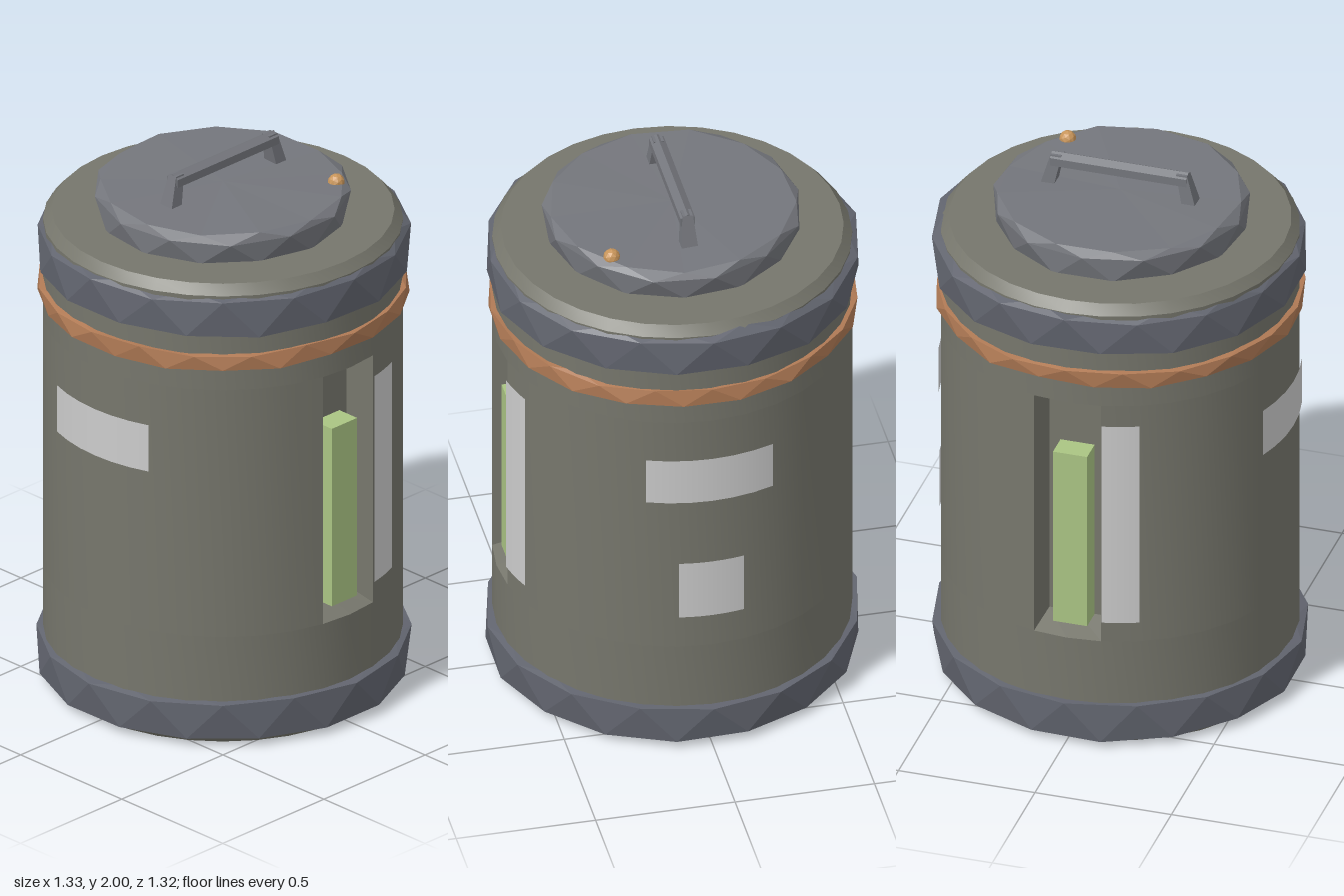
import * as THREE from 'three';
import { toCreasedNormals } from 'three/addons/utils/BufferGeometryUtils.js';

const R = 0.63, SEG = 32, STEP = (Math.PI * 2) / SEG;
const SLOT_LOW = 0.42, SLOT_HIGH = 1.38;

const paint = (color, options = {}) => new THREE.MeshStandardMaterial({ color, ...options });

export function createModel() {
  const model = new THREE.Group();
  const bodyMat = paint(0x76766c);
  const bandMat = paint(0x62656f, { flatShading: true });
  const lidMat = paint(0x74767c, { flatShading: true });
  const strapMat = paint(0xb07a55, { flatShading: true });
  const lampMat = paint(0xaac483, { flatShading: true });
  const labelMat = paint(0xc8c8c8, { side: THREE.DoubleSide });
  const slotMat = paint(0x76766c, { flatShading: true, side: THREE.DoubleSide });
  const knobMat = paint(0xc8955a, { flatShading: true });

  let seed = 7;
  const wobble = (amount) => {
    seed = (seed * 16807) % 2147483647;
    return (seed / 2147483647 - 0.5) * 2 * amount;
  };

  const add = (parent, name, geometry, material) => {
    const mesh = new THREE.Mesh(geometry, material);
    mesh.name = name;
    parent.add(mesh);
    return mesh;
  };

  const lathe = (profile, segments, start, length) => toCreasedNormals(
    new THREE.LatheGeometry(profile.map(([r, y]) => new THREE.Vector2(r, y)), segments, start, length), 0.6);

  // Rough faceted ring: rows of points staggered by half a step
  const facetRing = (profile, n, jitter) => {
    const pos = [], index = [];
    profile.forEach(([r, y], j) => {
      for (let i = 0; i < n; i++) {
        const a = ((i + (j % 2) * 0.5) / n) * Math.PI * 2;
        const rr = r > 0 ? r + wobble(jitter) : 0;
        pos.push(Math.sin(a) * rr, y + (r > 0 ? wobble(jitter) : 0), Math.cos(a) * rr);
      }
    });
    for (let j = 0; j < profile.length - 1; j++) {
      for (let i = 0; i < n; i++) {
        const k = (i + 1) % n, a = j * n, b = a + n;
        if (j % 2 === 0) index.push(a + i, a + k, b + i, a + k, b + k, b + i);
        else index.push(a + i, b + k, b + i, a + i, a + k, b + k);
      }
    }
    const geometry = new THREE.BufferGeometry();
    geometry.setAttribute('position', new THREE.Float32BufferAttribute(pos, 3));
    geometry.setIndex(index);
    geometry.computeVertexNormals();
    return geometry;
  };

  // Canister body: full lower and upper shells, two half shells between the slots
  const body = new THREE.Group();
  body.name = 'body';
  model.add(body);
  add(body, 'lowerShell', lathe([[0, 0], [0.6, 0], [R, 0.03], [R, SLOT_LOW]], SEG, 0, Math.PI * 2), bodyMat);
  add(body, 'upperShell', lathe([[R, SLOT_HIGH], [R, 1.745], [0.6, 1.78], [0, 1.78]], SEG, 0, Math.PI * 2), bodyMat);
  for (const start of [STEP, Math.PI + STEP]) {
    add(body, 'middleShell', lathe([[R, SLOT_LOW], [R, SLOT_HIGH]], SEG / 2 - 2, start, Math.PI - 2 * STEP), bodyMat);
  }

  // Sunken slot: outer loop on the shell, inner loop on the slot floor
  const slotGeometry = () => {
    const w = R * Math.sin(STEP), z = R * Math.cos(STEP), back = 0.51;
    const loop = (x, low, high, zSide, zMid) => [
      [-x, low, zSide], [0, low, zMid], [x, low, zSide], [x, high, zSide], [0, high, zMid], [-x, high, zSide]];
    const pos = [...loop(w, SLOT_LOW, SLOT_HIGH, z, R), ...loop(0.1, 0.46, 1.35, back, back)].flat();
    const index = [];
    for (let i = 0; i < 6; i++) {
      const k = (i + 1) % 6;
      index.push(i, k, i + 6, k, k + 6, i + 6);
    }
    index.push(6, 7, 11, 7, 10, 11, 7, 8, 10, 8, 9, 10);
    const geometry = new THREE.BufferGeometry();
    geometry.setAttribute('position', new THREE.Float32BufferAttribute(pos, 3));
    geometry.setIndex(index);
    geometry.computeVertexNormals();
    return geometry;
  };

  // Curved label hugging the shell, centred on an angle from the front
  const label = (parent, name, from, to, low, high) => add(parent, name,
    new THREE.LatheGeometry([new THREE.Vector2(R + 0.006, low), new THREE.Vector2(R + 0.006, high)], 6, from, to - from),
    labelMat);

  // Slot, glowing gauge and tall label, repeated front and back
  ['front', 'back'].forEach((side, i) => {
    const panel = new THREE.Group();
    panel.name = side + 'Panel';
    panel.rotation.y = i * Math.PI;
    add(panel, 'slot', slotGeometry(), slotMat);
    add(panel, 'gauge', new THREE.BoxGeometry(0.125, 0.69, 0.1), lampMat).position.set(0.003, 0.805, 0.548);
    label(panel, 'tallLabel', Math.asin(0.125 / R), Math.asin(0.25 / R), 0.5, 1.3);
    model.add(panel);
  });

  // Side labels
  const wide = Math.asin(0.225 / R), narrow = Math.asin(0.115 / R);
  for (const a of [Math.PI / 2, -Math.PI / 2]) label(model, 'wideLabel', a - wide, a + wide, 1.04, 1.22);
  label(model, 'squareLabel', Math.PI / 2 - narrow, Math.PI / 2 + narrow, 0.55, 0.78);

  // Dented bands and strap
  add(model, 'bottomBand', facetRing([[0.6, 0.025], [0.652, 0.03], [0.658, 0.165], [0.61, 0.17]], 16, 0.006), bandMat);
  add(model, 'topBand', facetRing([[0.6, 1.6], [0.652, 1.6], [0.655, 1.725], [0.61, 1.752]], 16, 0.008), bandMat);
  add(model, 'strap', facetRing([[0.61, 1.465], [0.647, 1.465], [0.645, 1.52], [0.61, 1.525]], 20, 0.007), strapMat);

  // Lid
  add(model, 'lid', facetRing([[0.44, 1.775], [0.452, 1.86], [0.43, 1.885], [0, 1.888]], 13, 0.007), lidMat);

  // Handle: splayed posts and a six-sided bar
  const handle = new THREE.Group();
  handle.name = 'handle';
  model.add(handle);
  const bar = add(handle, 'handleBar', new THREE.CylinderGeometry(0.03, 0.03, 0.5, 6), lidMat);
  bar.rotation.z = Math.PI / 2;
  bar.rotation.x = Math.PI / 6;
  bar.scale.z = 1;
  bar.position.y = 1.97;
  for (const s of [-1, 1]) {
    const post = new THREE.BoxGeometry(0.05, 0.12, 0.06);
    const p = post.attributes.position;
    for (let i = 0; i < p.count; i++) {
      if (p.getY(i) > 0) {
        p.setX(i, p.getX(i) * 0.8 - s * 0.03);
        p.setZ(i, p.getZ(i) * 0.6);
      }
    }
    add(handle, 'handlePost', post, lidMat).position.set(s * 0.26, 1.935, 0);
  }

  // Small rivet on the lid
  add(model, 'rivet', new THREE.IcosahedronGeometry(0.03, 1), knobMat).position.set(0.28, 1.885, 0.28);

  return model;
}
